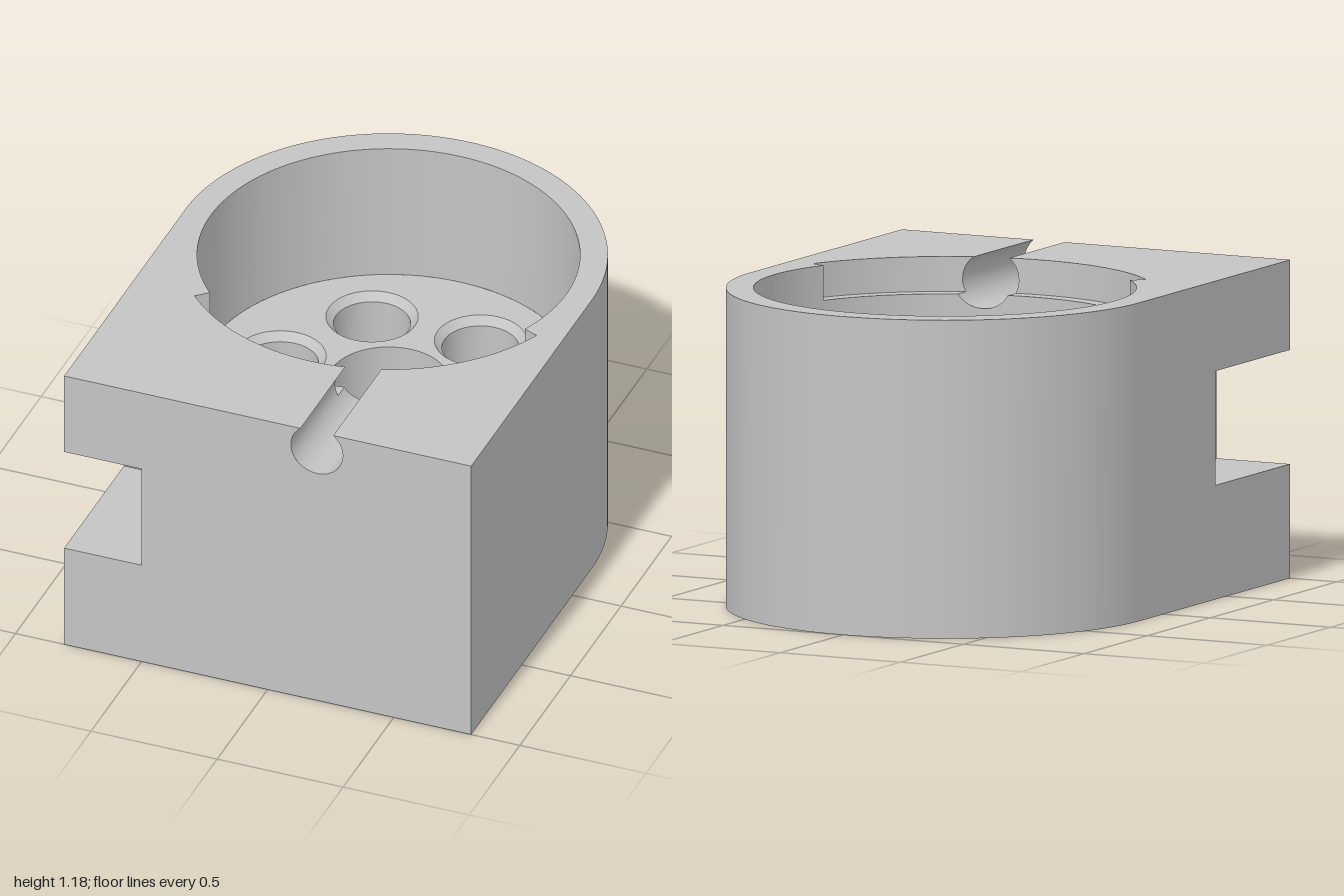
import * as THREE from 'three';

// Main dimensions
const W = 0.807, ZC = -0.195, TOP = 1.185, FLOOR = 0.63;  // D-shaped block, bore floor
const RI = 0.705, RO = 0.765, LEDGE = 1.055;              // bore, rim recess, recess height
const A0 = 0.398, A1 = 2.393;                             // recess start and end angles
const RC = 0.222;                                         // centre hole
const GX = 0.195, GY = 1.105, GR = 0.103;                 // round channel
const NX = -0.5, NZ = 0.41, NB = 0.425, NT = 0.85;        // side notch
const half = (y) => Math.sqrt(GR * GR - (y - GY) ** 2);   // channel half width at a height
const wTop = half(TOP), wLedge = half(LEDGE);

// Points [x, z] along an arc about the bore axis
function arc(r, a0, a1, n = 48, cx = 0, cz = ZC) {
  return Array.from({ length: n + 1 }, (_, i) => {
    const a = a0 + (a1 - a0) * i / n;
    return [cx + r * Math.cos(a), cz + r * Math.sin(a)];
  });
}
const angleAt = (r, x) => Math.acos(x / r);
const zAt = (r, x) => ZC + Math.sqrt(r * r - x * x);

// Ruled surface between two rows of 3D points
function ruled(a, b) {
  const n = a.length, index = [];
  for (let i = 0; i < n - 1; i++) index.push(i, i + 1, n + i + 1, i, n + i + 1, n + i);
  const g = new THREE.BufferGeometry();
  g.setAttribute('position', new THREE.Float32BufferAttribute([...a, ...b].flat(), 3));
  g.setIndex(index);
  g.computeVertexNormals();
  return g;
}

// Upright wall over [x, z] points; heights are numbers or functions of x
function wall(pts, lo, hi) {
  const h = (v, x) => (typeof v === 'function' ? v(x) : v);
  return ruled(pts.map(([x, z]) => [x, h(lo, x), z]), pts.map(([x, z]) => [x, h(hi, x), z]));
}

// Level face at height y, facing up or down
function cap(pts, y, up = true, holes = []) {
  const s = up ? -1 : 1;
  const vec = (list) => list.map(([x, z]) => new THREE.Vector2(x, z * s));
  const shape = new THREE.Shape(vec(pts));
  holes.forEach((h) => shape.holes.push(new THREE.Path(vec(h))));
  return new THREE.ShapeGeometry(shape).rotateX(s * Math.PI / 2).translate(0, y, 0);
}
const flat = (pts) => new THREE.ShapeGeometry(new THREE.Shape(pts.map((p) => new THREE.Vector2(...p))));

export function createModel() {
  const grey = new THREE.MeshStandardMaterial({ color: 0xc4c4c4, side: THREE.DoubleSide });
  grey.name = 'light grey';
  const model = new THREE.Group();
  model.name = 'socketBlock';
  const add = (name, geometry) => {
    const m = new THREE.Mesh(geometry, grey);
    m.name = name;
    model.add(m);
  };
  const full = (r, n = 96, cx = 0, cz = ZC) => arc(r, 0, 2 * Math.PI, n, cx, cz);
  const loop = (...args) => full(...args).slice(0, -1);

  // Outside of the block
  const back = arc(W, 0, -Math.PI, 96);
  add('base', cap([[W, 1], ...back, [-W, 1]], 0, false, [loop(RC)]));
  add('roundedBack', wall(back, 0, TOP));
  add('plainSide', wall([[W, 1], [W, ZC]], 0, TOP));
  add('notchedSide', flat([[ZC, 0], [1, 0], [1, NB], [NZ, NB], [NZ, NT], [1, NT], [1, TOP], [ZC, TOP]])
    .rotateY(-Math.PI / 2).translate(-W, 0, 0));
  const tTop = Math.asin((TOP - GY) / GR);
  const mouth = arc(GR, tTop, -Math.PI - tTop, 48, GX, GY);
  add('frontFace', flat([[-W, 0], [W, 0], [W, TOP], ...mouth, [-W, TOP], [-W, NT], [NX, NT], [NX, NB], [-W, NB]])
    .translate(0, 0, 1));

  // Side notch, open to the front and side
  const notch = [[-W, NZ], [NX, NZ], [NX, 1], [-W, 1]];
  add('notchFloor', cap(notch, NB));
  add('notchCeiling', cap(notch, NT, false));
  add('notchEnd', wall([[-W, NZ], [NX, NZ]], NB, NT));
  add('notchWall', wall([[NX, NZ], [NX, 1]].reverse(), NB, NT));

  // Top face, broken by the bore, recess and channel
  add('topFace', cap([
    [GX + wTop, 1], [W, 1], ...back, [-W, 1], [GX - wTop, 1],
    ...arc(RO, angleAt(RO, GX - wTop), A1),
    ...arc(RI, A1, A0 + 2 * Math.PI, 96),
    ...arc(RO, A0, angleAt(RO, GX + wTop)),
  ], TOP));

  // Bore wall, lower under the recess and cut by the channel
  const under = (x) => GY - Math.sqrt(Math.max(0, GR * GR - (x - GX) ** 2));
  const over = (x) => GY + Math.sqrt(Math.max(0, GR * GR - (x - GX) ** 2));
  const iR = angleAt(RI, GX + wLedge), iL = angleAt(RI, GX - wLedge);
  add('boreWall', wall(arc(RI, A1, A0 + 2 * Math.PI, 96), FLOOR, TOP));
  add('boreWallRight', wall(arc(RI, A0, iR), FLOOR, LEDGE));
  add('boreWallChannel', wall(arc(RI, iR, iL, 24), FLOOR, under));
  add('boreWallLeft', wall(arc(RI, iL, A1), FLOOR, LEDGE));

  // Rim recess: ledge, outer wall and ends
  const oR = angleAt(RO, GX + wLedge), oL = angleAt(RO, GX - wLedge);
  add('ledgeRight', cap([...arc(RO, A0, oR), ...arc(RI, iR, A0)], LEDGE));
  add('ledgeLeft', cap([...arc(RO, oL, A1), ...arc(RI, A1, iL)], LEDGE));
  add('recessWallRight', wall(arc(RO, A0, angleAt(RO, GX + GR)), LEDGE, TOP));
  add('recessWallLeft', wall(arc(RO, angleAt(RO, GX - GR), A1), LEDGE, TOP));
  for (const s of [1, -1]) {
    const piece = (w) => {
      const p = arc(RO, angleAt(RO, GX + s * GR), angleAt(RO, GX + s * w), 12);
      return s > 0 ? p : p.reverse();
    };
    add('recessLipUpper', wall(piece(wTop), over, TOP));
    add('recessLipLower', wall(piece(wLedge), LEDGE, under));
  }
  for (const a of [A0, A1]) {
    const ends = [...arc(RI, a, a, 1).slice(1), ...arc(RO, a, a, 1).slice(1)];
    add('recessEnd', wall(a === A0 ? ends.reverse() : ends, LEDGE, TOP));
  }

  // Round channel from the front to the bore
  const tL = Math.asin((LEDGE - GY) / GR);
  for (const [t0, t1, r] of [[tTop, tL, RO], [tL, -Math.PI - tL, RI], [-Math.PI - tL, -Math.PI - tTop, RO]]) {
    const p = arc(GR, t0, t1, 24, GX, GY);
    add('channel', ruled(p.map(([x, y]) => [x, y, zAt(r, x)]), p.map(([x, y]) => [x, y, 1])));
  }

  // Bore floor with the centre hole and six chamfered sockets
  const R1 = 0.17, R2 = 0.142, CH = FLOOR - 0.03, BOTTOM = 0.12;
  const centres = arc(0.43, 0, 2 * Math.PI, 6).slice(0, 6);
  add('boreFloor', cap(loop(RI), FLOOR, true, [loop(RC), ...centres.map(([x, z]) => loop(R1, 48, x, z))]));
  add('centreHole', wall(full(RC), 0, FLOOR));
  for (const [x, z] of centres) {
    const inner = full(R2, 48, x, z), outer = full(R1, 48, x, z);
    add('socketChamfer', ruled(inner.map(([a, b]) => [a, CH, b]), outer.map(([a, b]) => [a, FLOOR, b])));
    add('socketWall', wall(inner, BOTTOM, CH));
    add('socketBottom', cap(loop(R2, 48, x, z), BOTTOM));
  }
  return model;
}
